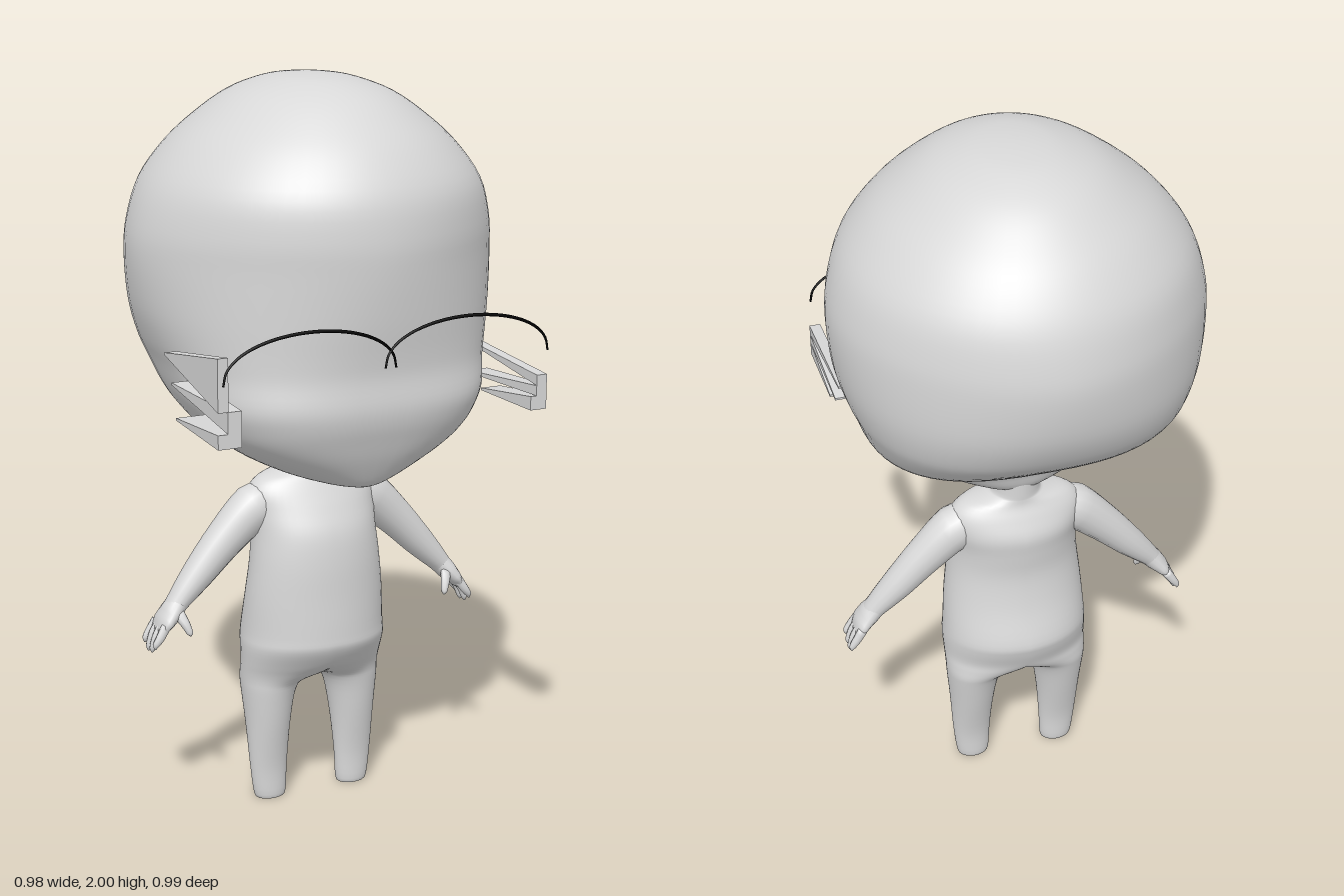
import * as THREE from 'three';
import { mergeGeometries, mergeVertices } from 'three/addons/utils/BufferGeometryUtils.js';

const V = (x, y, z) => new THREE.Vector3(x, y, z);

// Smooth skin over a stack of closed rings (each anticlockwise about the stacking direction), capped at both ends
function loft(rings) {
  const n = rings[0].length, pos = [], idx = [];
  rings.forEach(r => r.forEach(p => pos.push(p.x, p.y, p.z)));
  for (let i = 0; i < rings.length - 1; i++) {
    for (let j = 0; j < n; j++) {
      const a = i * n + j, b = i * n + (j + 1) % n;
      idx.push(a, b, a + n, b, b + n, a + n);
    }
  }
  const cap = (ring, base, flip) => {
    const c = ring.reduce((s, p) => s.add(p), V(0, 0, 0)).divideScalar(n);
    const k = pos.length / 3;
    pos.push(c.x, c.y, c.z);
    for (let j = 0; j < n; j++) {
      const a = base + j, b = base + (j + 1) % n;
      idx.push(k, flip ? b : a, flip ? a : b);
    }
  };
  cap(rings[0], 0, true);
  cap(rings[rings.length - 1], (rings.length - 1) * n, false);
  const g = new THREE.BufferGeometry();
  g.setAttribute('position', new THREE.Float32BufferAttribute(pos, 3));
  g.setIndex(idx);
  g.computeVertexNormals();
  return g;
}

// Level rings from sections [y, half width, front z, back z, centre x, corner power], smoothed between them
function levelRings(sections, sides, sub = 4) {
  const rings = [], last = sections.length - 1;
  const at = (i, q) => sections[Math.max(0, Math.min(last, i))][q] ?? (q === 5 ? 1 : 0);
  const cr = (a, b, c, d, t) => b + 0.5 * t * (c - a + t * (2 * a - 5 * b + 4 * c - d + t * (3 * (b - c) + d - a)));
  for (let k = 0; k <= last * sub; k++) {
    const i = Math.min(last - 1, Math.floor(k / sub)), t = k / sub - i;
    const [y, w, f, b, cx, power] = [0, 1, 2, 3, 4, 5].map(q =>
      cr(at(i - 1, q), at(i, q), at(i + 1, q), at(i + 2, q), t));
    const bend = v => Math.sign(v) * Math.abs(v) ** power;
    rings.push(Array.from({ length: sides }, (_, j) => {
      const a = j / sides * Math.PI * 2;
      return V(cx + w * bend(Math.sin(a)), y, (f + b) / 2 + (f - b) / 2 * bend(Math.cos(a)));
    }));
  }
  return rings;
}

// Two mirrored halves cut at x = 0 and welded, so two legs grow smoothly into one trunk
function forkedBody(sections) {
  const rings = levelRings(sections, 48);
  rings.forEach(r => r.forEach(p => { if (p.x < 0.002) p.x = 0; }));
  const half = loft(rings), p = half.attributes.position, keep = [];
  for (let i = 0; i < half.index.count; i += 3) {
    const tri = [0, 1, 2].map(k => half.index.getX(i + k));
    if (tri.some(v => p.getX(v) > 0)) keep.push(...tri);
  }
  half.setIndex(keep);
  const other = half.clone().scale(-1, 1, 1);
  other.setIndex([...keep].reverse());
  const both = mergeGeometries([half, other]);
  both.deleteAttribute('normal');
  const welded = mergeVertices(both, 1e-4);
  welded.computeVertexNormals();
  return welded;
}

// Limb along a path of [x, y, z, radius in the front plane, radius in depth]
function limb(points, side = 1, steps = 24, sides = 16) {
  const curve = new THREE.CatmullRomCurve3(points.map(p => V(p[0] * side, p[1], p[2])));
  const rings = [], Z = V(0, 0, 1);
  for (let k = 0; k <= steps; k++) {
    const t = k / steps, u = t * (points.length - 1);
    const i = Math.min(points.length - 2, Math.floor(u));
    const mix = q => THREE.MathUtils.lerp(points[i][q], points[i + 1][q], u - i);
    const P = curve.getPoint(t), N = Z.clone().cross(curve.getTangent(t)).normalize();
    rings.push(Array.from({ length: sides }, (_, j) => {
      const a = j / sides * Math.PI * 2;
      return P.clone().addScaledVector(N, mix(3) * Math.cos(a)).addScaledVector(Z, mix(4) * Math.sin(a));
    }));
  }
  return loft(rings);
}

// Flat-sided sliver running from a rectangle at the front back to a thin edge
function sliver(x0, x1, y0, y1, tipX0, tipX1, tipY, tipZ) {
  const g = new THREE.BoxGeometry(1, 1, 1), p = g.attributes.position;
  for (let i = 0; i < p.count; i++) {
    const right = p.getX(i) > 0, up = p.getY(i);
    if (p.getZ(i) > 0) p.setXYZ(i, right ? x1 : x0, up > 0 ? y1 : y0, 0.48);
    else p.setXYZ(i, right ? tipX1 : tipX0, tipY + up * 0.006, tipZ);
  }
  const flat = g.toNonIndexed();
  flat.computeVertexNormals();
  return flat;
}

export function createModel() {
  const model = new THREE.Group();
  const grey = new THREE.MeshStandardMaterial({ color: 0xd8d8d8 });
  grey.name = 'plain light grey';
  const black = new THREE.MeshStandardMaterial({ color: 0x000000 });
  black.name = 'lash black';
  const add = (name, geometry, material = grey) => {
    const m = new THREE.Mesh(geometry, material);
    m.name = name;
    model.add(m);
  };

  // Large head: broad boxy jaw and nape, round skull
  add('head', loft(levelRings([
    [0.963, 0.06, 0.325, 0.02, 0, 0.95], [0.973, 0.115, 0.345, -0.05, 0, 0.9], [1.0, 0.19, 0.364, -0.075, 0, 0.87],
    [1.05, 0.283, 0.39, -0.095, 0, 0.82], [1.1, 0.345, 0.41, -0.14, 0, 0.78], [1.15, 0.384, 0.427, -0.23, 0, 0.76],
    [1.2, 0.41, 0.434, -0.3, 0, 0.76], [1.27, 0.433, 0.43, -0.385, 0, 0.82], [1.33, 0.456, 0.436, -0.435, 0, 0.89],
    [1.42, 0.48, 0.45, -0.476, 0, 0.98], [1.54, 0.492, 0.463, -0.495, 0, 1.05], [1.63, 0.483, 0.465, -0.487, 0, 1.04],
    [1.73, 0.447, 0.447, -0.457], [1.82, 0.38, 0.393, -0.4], [1.89, 0.302, 0.325, -0.33],
    [1.95, 0.215, 0.243, -0.25], [1.985, 0.125, 0.15, -0.16], [1.997, 0.06, 0.07, -0.075], [2.0, 0.006, 0.007, -0.007],
  ], 64)));

  // Legs, hips, rounded belly, seat, shoulders and neck in one skin
  add('body', forkedBody([
    [0, 0.034, 0.03, -0.02, 0.126], [0.012, 0.046, 0.037, -0.028, 0.127],
    [0.1, 0.054, 0.04, -0.034, 0.13], [0.23, 0.064, 0.06, -0.064, 0.129],
    [0.32, 0.077, 0.073, -0.086, 0.124], [0.352, 0.097, 0.082, -0.098, 0.106],
    [0.38, 0.152, 0.107, -0.113, 0.052], [0.41, 0.205, 0.138, -0.127, 0],
    [0.46, 0.207, 0.168, -0.145], [0.5, 0.204, 0.17, -0.148], [0.6, 0.197, 0.165, -0.12],
    [0.7, 0.186, 0.16, -0.105], [0.78, 0.179, 0.148, -0.11], [0.84, 0.183, 0.122, -0.114],
    [0.89, 0.184, 0.095, -0.095], [0.925, 0.152, 0.075, -0.078], [0.945, 0.088, 0.066, -0.074],
    [0.965, 0.066, 0.066, -0.074], [1.06, 0.064, 0.06, -0.075],
  ]));

  for (const s of [1, -1]) {
    const side = s > 0 ? 'left' : 'right';

    // Arm sloping down and out to the wrist
    add(side + 'Arm', limb([
      [0.08, 0.88, 0, 0.035, 0.045], [0.165, 0.846, 0, 0.066, 0.062], [0.25, 0.772, 0, 0.055, 0.053],
      [0.335, 0.682, 0.003, 0.044, 0.045], [0.395, 0.617, 0.008, 0.031, 0.036],
      [0.415, 0.593, 0.01, 0.027, 0.034],
    ], s));

    // Palm, thumb and four fingers
    add(side + 'Palm', limb([
      [0.395, 0.617, 0.008, 0.028, 0.034], [0.418, 0.59, 0.012, 0.028, 0.042],
      [0.44, 0.565, 0.012, 0.022, 0.048], [0.456, 0.54, 0.01, 0.012, 0.042],
    ], s, 12));
    add(side + 'Thumb', limb([
      [0.41, 0.592, 0.035, 0.017, 0.016], [0.397, 0.565, 0.055, 0.013, 0.013],
      [0.388, 0.54, 0.066, 0.009, 0.009], [0.386, 0.532, 0.068, 0.002, 0.002],
    ], s, 10, 10));
    [[0.046, 0.505], [0.022, 0.49], [-0.003, 0.488], [-0.028, 0.503]].forEach(([z, tip], i) =>
      add(side + 'Finger' + (i + 1), limb([
        [0.446, 0.56, z * 0.9, 0.014, 0.012], [0.466, 0.53, z, 0.012, 0.011],
        [0.478, tip + 0.008, z, 0.009, 0.009], [0.48, tip - 0.004, z, 0.002, 0.002],
      ], s, 10, 10)));

    // Thin arched lash floating before the face
    const arc = [];
    for (let k = 0; k <= 12; k++) {
      const a = k / 12 * Math.PI, r = 0.003 + 0.0015 * Math.sin(a);
      arc.push([-0.02 + s * 0.22 - 0.235 * Math.cos(a), 1.318 + 0.112 * Math.sin(a) ** 0.9, 0.495, r, 0.003]);
    }
    add(side + 'Lash', limb(arc, 1, 48, 6), black);
  }

  // Angular slivers beside the cheeks, tallest on the right
  [
    ['leftUpperSliver', 0.415, 0.445, 1.222, 1.25, 0.415, 0.445, 1.27, 0.13],
    ['leftMiddleSliver', 0.415, 0.445, 1.195, 1.222, 0.385, 0.445, 1.2, 0.18],
    ['leftLowerSliver', 0.398, 0.445, 1.158, 1.195, 0.385, 0.445, 1.166, 0.25],
    ['rightTallSliver', -0.483, -0.455, 1.25, 1.385, -0.483, -0.45, 1.33, 0.15],
    ['rightMiddleSliver', -0.457, -0.42, 1.195, 1.25, -0.465, -0.4, 1.25, 0.15],
    ['rightLowerSliver', -0.483, -0.42, 1.158, 1.195, -0.475, -0.39, 1.17, 0.2],
  ].forEach(([name, ...shape]) => add(name, sliver(...shape)));

  return model;
}
